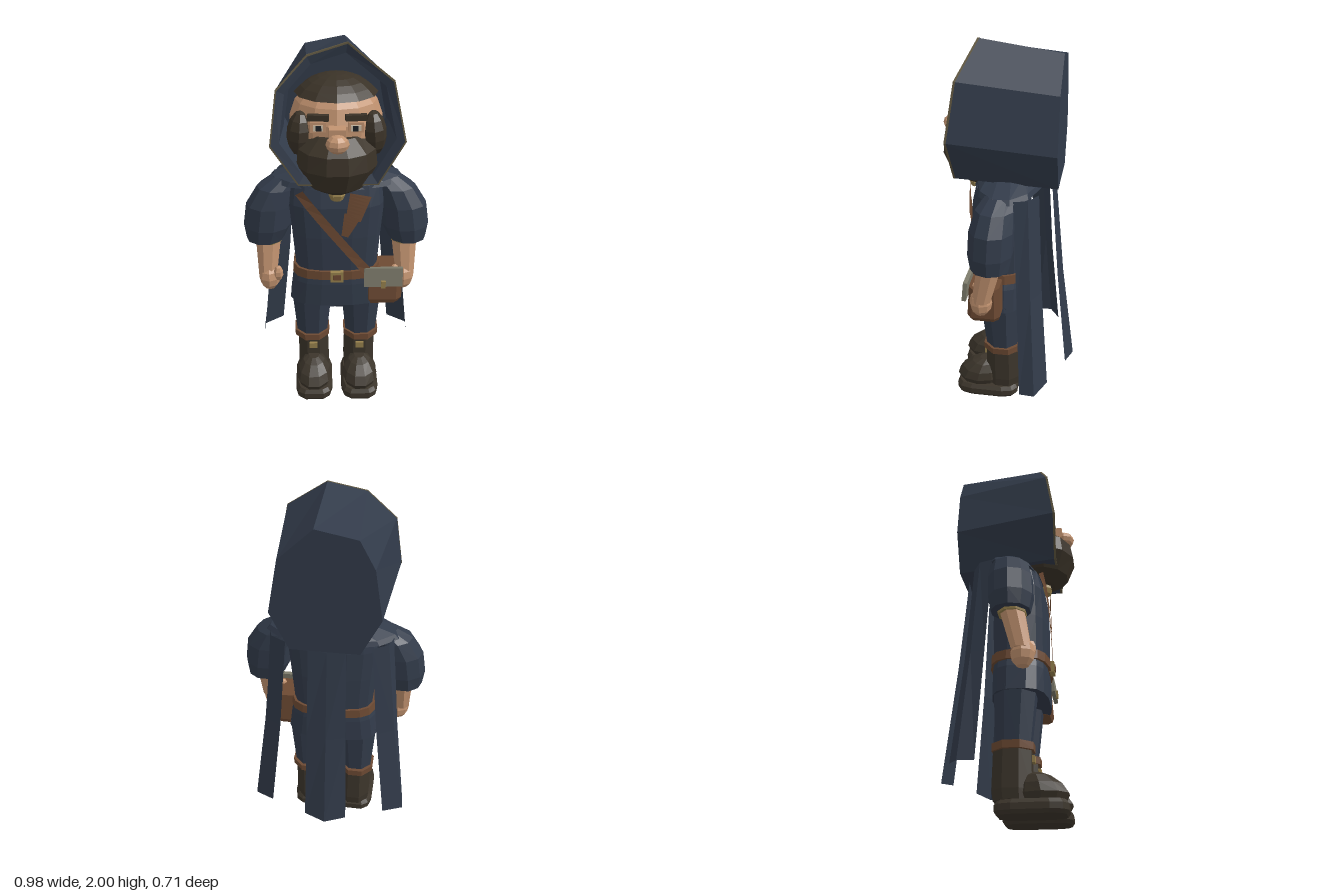
import * as THREE from 'three';

const colours = {
  navyCloth: 0x323b4a, skin: 0xc29370, hair: 0x3a3227, leather: 0x6d4a33, bootLeather: 0x3c352b,
  brass: 0x96804c, paleCanvas: 0x7d7b6b, eyeWhite: 0xcdbfa8, pupil: 0x1d2226, hem: 0x5f563f,
};
const mats = {};

// Flat-faceted mesh with a name
function add(parent, name, geometry, mat, pos = [0, 0, 0], rot = [0, 0, 0], scale = [1, 1, 1]) {
  const g = geometry.index ? geometry.toNonIndexed() : geometry;
  g.computeVertexNormals();
  const m = new THREE.Mesh(g, mats[mat]);
  m.name = name;
  m.position.set(...pos);
  m.rotation.set(...rot);
  m.scale.set(...scale);
  parent.add(m);
}
const box = (w, h, d) => new THREE.BoxGeometry(w, h, d);
const ball = (w = 10, h = 7) => new THREE.SphereGeometry(1, w, h);

// Skin through rings of points; optional end caps and open strips
function loft(rings, { closed = true, capStart = false, capEnd = false } = {}) {
  const out = [], n = rings[0].length;
  for (let r = 0; r < rings.length - 1; r++) {
    for (let i = 0; i < (closed ? n : n - 1); i++) {
      const j = (i + 1) % n, a = rings[r], b = rings[r + 1];
      out.push(...a[i], ...a[j], ...b[j], ...a[i], ...b[j], ...b[i]);
    }
  }
  const cap = (ring, flip) => {
    const c = [0, 1, 2].map(k => ring.reduce((s, p) => s + p[k], 0) / n);
    for (let i = 0; i < n; i++) {
      const p = ring[i], q = ring[(i + 1) % n];
      out.push(...c, ...(flip ? q : p), ...(flip ? p : q));
    }
  };
  if (capStart) cap(rings[0], true);
  if (capEnd) cap(rings[rings.length - 1], false);
  return new THREE.BufferGeometry().setAttribute('position', new THREE.Float32BufferAttribute(out, 3));
}

// Horizontal ring, rounder at k = 2 and boxier at k = 3
function ring(cx, y, cz, rx, rz, n = 8, k = 2) {
  return Array.from({ length: n }, (_, i) => {
    const t = (i + 0.5) / n * Math.PI * 2, s = Math.sin(t), c = Math.cos(t);
    const f = v => Math.sign(v) * Math.abs(v) ** (2 / k);
    return [cx + rx * f(s), y, cz + rz * f(c)];
  });
}
// Stack of rings given as [cx, y, cz, rx, rz], bottom to top
const stack = (list, n, k) => loft(list.map(p => ring(...p, n, k)), { capStart: true, capEnd: true });

// Thin band lying on the front of the torso between two points
function chestBand(x0, y0, x1, y1, w0, w1) {
  const front = x => 0.063 + 0.147 * (1 - Math.min(1, Math.abs(x) / 0.25) ** 3) ** (1 / 3);
  const len = Math.hypot(x1 - x0, y1 - y0), nx = -(y1 - y0) / len, ny = (x1 - x0) / len;
  const rows = Array.from({ length: 9 }, (_, i) => {
    const t = i / 8, w = w0 + (w1 - w0) * t, x = x0 + (x1 - x0) * t, y = y0 + (y1 - y0) * t;
    return [-w, w].map(d => [x + nx * d, y + ny * d, front(x + nx * d)]);
  });
  return loft(rows, { closed: false });
}

function buildHood(g) {
  const front = [[0.05, 2, 0.155], [0.265, 1.84, 0.23], [0.325, 1.56, 0.272], [0.2, 1.335, 0.262],
    [-0.19, 1.335, 0.262], [-0.32, 1.54, 0.272], [-0.285, 1.8, 0.235], [-0.14, 1.95, 0.19]];
  const back = [[0.05, 1.94], [0.222, 1.78], [0.275, 1.5], [0.18, 1.3],
    [-0.17, 1.3], [-0.27, 1.5], [-0.23, 1.76], [-0.155, 1.9]].map(p => [...p, -0.26]);
  const inset = (s, dz) => front.map(([x, y, z]) => [x * s, 1.63 + (y - 1.63) * s, z + dz]);
  add(g, 'hood', loft([inset(0.82, -0.25), inset(0.86, -0.015), front, back], { capEnd: true }), 'navyCloth');
  add(g, 'hoodHem', loft([inset(0.98, 0.003), inset(1.004, 0.003), inset(1.004, -0.008)]), 'hem');
}

function buildHead(g) {
  add(g, 'neck', stack([[0, 1.24, -0.04, 0.11, 0.11], [0, 1.31, -0.06, 0.14, 0.13],
    [0, 1.42, -0.05, 0.17, 0.16]]), 'skin');
  add(g, 'head', ball(12, 9), 'skin', [0, 1.575, 0.02], [0, 0, 0], [0.235, 0.24, 0.215]);
  add(g, 'hairCap', new THREE.SphereGeometry(1, 12, 5, 0, Math.PI * 2, 0, 0.9), 'hair',
    [0, 1.575, 0.02], [0, 0, 0], [0.265, 0.25, 0.25]);
  add(g, 'beard', stack([[0, 1.27, 0.14, 0.09, 0.1], [0, 1.315, 0.15, 0.155, 0.165],
    [0, 1.415, 0.155, 0.205, 0.2], [0, 1.5, 0.155, 0.195, 0.185], [0, 1.565, 0.14, 0.12, 0.125]], 12), 'hair');
  add(g, 'noseBridge', box(0.08, 0.09, 0.1), 'skin', [0, 1.58, 0.24]);
  add(g, 'nose', ball(8, 6), 'skin', [0, 1.56, 0.3], [0, 0, 0], [0.057, 0.045, 0.055]);
  for (const s of [1, -1]) {
    add(g, 'sideburn', ball(8, 7), 'hair', [s * 0.182, 1.56, 0.14], [0, 0, s * 0.08], [0.062, 0.112, 0.08]);
    add(g, 'eyebrow', box(0.102, 0.028, 0.03), 'hair', [s * 0.09, 1.667, 0.23], [0, s * 0.1, 0]);
    add(g, 'eyeSocket', box(0.075, 0.05, 0.03), 'skin', [s * 0.09, 1.615, 0.208]);
    add(g, 'eyeWhite', box(0.048, 0.028, 0.006), 'eyeWhite', [s * 0.09, 1.612, 0.226]);
    add(g, 'pupil', box(0.026, 0.026, 0.006), 'pupil', [s * 0.088, 1.612, 0.23]);
  }
}

function buildTorso(g) {
  add(g, 'tunic', stack([[0, 0.59, 0.055, 0.255, 0.145], [0, 0.72, 0.055, 0.238, 0.145],
    [0, 0.78, 0.055, 0.218, 0.14], [0, 1, 0.055, 0.235, 0.145], [0, 1.17, 0.055, 0.25, 0.14],
    [0, 1.28, 0.05, 0.24, 0.12]], 16, 3), 'navyCloth');
  add(g, 'belt', stack([[0, 0.758, 0.055, 0.238, 0.155], [0, 0.808, 0.055, 0.232, 0.154]], 16, 3), 'leather');
  add(g, 'buckle', box(0.07, 0.06, 0.025), 'brass', [0, 0.783, 0.213]);
  add(g, 'buckleInset', box(0.04, 0.03, 0.006), 'leather', [0, 0.783, 0.227]);
  add(g, 'shoulderStrap', chestBand(-0.19, 1.255, 0.225, 0.72, 0.024, 0.024), 'leather');
  // Ragged lapel in two overlapping pieces
  add(g, 'upperLapel', chestBand(0.12, 1.25, 0.082, 1.11, 0.056, 0.04), 'leather');
  add(g, 'lowerLapel', chestBand(0.08, 1.14, 0.04, 1.02, 0.045, 0.018), 'leather');
  add(g, 'pendant', ball(6, 4), 'brass', [0, 1.25, 0.195], [0, 0, 0], [0.042, 0.038, 0.03]);
  // Shoulder mantle
  add(g, 'mantle', stack([[0, 1.265, 0.005, 0.355, 0.178], [0, 1.29, 0.005, 0.335, 0.168],
    [0, 1.335, 0.01, 0.18, 0.125]], 12), 'navyCloth');
}

// Three hanging cape panels, each with a bent cross-section
function buildCape(g) {
  const panel = (name, parent, top, mid, low) =>
    add(parent, name, loft([low, mid, top], { closed: false }), 'navyCloth');
  const centre = (y, w, z, bend) => [[w, y + 0.015, z], [0, y, z - bend], [-w, y + 0.015, z]];
  panel('backCapePanel', g, centre(1.27, 0.095, -0.222, 0.006),
    centre(0.75, 0.105, -0.265, 0.02), centre(0.2, 0.116, -0.323, 0.036));
  for (const s of [1, -1]) {
    const side = new THREE.Group();
    side.name = s > 0 ? 'leftCape' : 'rightCape';
    side.scale.x = s;
    g.add(side);
    panel('sideCapePanel', side,
      [[0.32, 1.28, -0.055], [0.3, 1.28, -0.125], [0.22, 1.28, -0.17]],
      [[0.365, 0.75, -0.08], [0.355, 0.75, -0.15], [0.262, 0.75, -0.198]],
      [[0.425, 0.2, -0.105], [0.43, 0.2, -0.185], [0.32, 0.215, -0.243]]);
  }
}

function buildArm(g) {
  add(g, 'sleeve', stack([[0.38, 0.94, 0.05, 0.1, 0.1], [0.366, 1.02, 0.05, 0.125, 0.115],
    [0.35, 1.14, 0.045, 0.123, 0.115], [0.308, 1.235, 0.035, 0.105, 0.1],
    [0.25, 1.29, 0.02, 0.08, 0.07]], 10), 'navyCloth');
  add(g, 'cuff', stack([[0.365, 0.928, 0.055, 0.078, 0.073], [0.365, 0.945, 0.055, 0.08, 0.075]], 8), 'brass');
  add(g, 'forearm', stack([[0.37, 0.74, 0.1, 0.052, 0.052], [0.362, 0.95, 0.055, 0.072, 0.066]], 8), 'skin');
  add(g, 'hand', ball(8, 6), 'skin', [0.362, 0.725, 0.105], [0, 0, 0], [0.058, 0.078, 0.06]);
  add(g, 'thumb', ball(6, 5), 'skin', [0.312, 0.765, 0.14], [0, 0, 0], [0.026, 0.045, 0.028]);
}

function buildLeg(g) {
  add(g, 'trouserLeg', stack([[0.137, 0.32, 0.03, 0.09, 0.09], [0.135, 0.62, 0.04, 0.12, 0.115]], 8), 'navyCloth');
  add(g, 'bootShaft', stack([[0.13, 0.07, 0.025, 0.088, 0.1], [0.13, 0.12, 0.022, 0.094, 0.104],
    [0.132, 0.33, 0.025, 0.09, 0.1]], 8), 'bootLeather');
  add(g, 'bootCuff', stack([[0.138, 0.305, 0.028, 0.103, 0.11], [0.138, 0.342, 0.028, 0.106, 0.11]], 8), 'leather');
  add(g, 'bootClasp', box(0.045, 0.034, 0.02), 'brass', [0.132, 0.268, 0.122]);
  // Sole with bevelled edges, then the rounded toe
  add(g, 'sole', stack([[0.13, 0, 0.115, 0.095, 0.165], [0.13, 0.018, 0.115, 0.106, 0.177],
    [0.13, 0.048, 0.115, 0.106, 0.177], [0.13, 0.068, 0.115, 0.092, 0.163]], 12, 4), 'bootLeather');
  add(g, 'toe', stack([[0.13, 0.06, 0.165, 0.085, 0.11], [0.13, 0.1, 0.165, 0.1, 0.13],
    [0.13, 0.145, 0.155, 0.09, 0.11], [0.13, 0.185, 0.14, 0.062, 0.07], [0.13, 0.203, 0.125, 0.03, 0.04]], 10), 'bootLeather');
}

function buildBag(g) {
  const bag = new THREE.Group();
  bag.name = 'bag';
  bag.position.set(0.247, 0, 0.1);
  g.add(bag);
  add(bag, 'bagBody', stack([[0, 0.588, 0, 0.09, 0.08], [0, 0.615, 0, 0.108, 0.09],
    [0, 0.79, -0.005, 0.112, 0.082]], 8, 5), 'leather');
  add(bag, 'bagFlap', box(0.205, 0.108, 0.022), 'paleCanvas', [0, 0.765, 0.094], [-0.1, 0, 0]);
  add(bag, 'bagClasp', box(0.024, 0.042, 0.014), 'brass', [0, 0.728, 0.112]);
}

export function createModel() {
  for (const [name, color] of Object.entries(colours)) {
    mats[name] = new THREE.MeshStandardMaterial({ color, flatShading: true });
    mats[name].name = name;
  }
  for (const name of ['navyCloth', 'leather', 'hem', 'hair']) mats[name].side = THREE.DoubleSide;
  const model = new THREE.Group();
  model.name = 'hoodedTraveller';
  [buildHood, buildHead, buildTorso, buildCape, buildBag].forEach(build => build(model));
  for (const s of [1, -1]) {
    const limbs = new THREE.Group();
    limbs.name = s > 0 ? 'leftLimbs' : 'rightLimbs';
    limbs.scale.x = s;
    buildArm(limbs);
    buildLeg(limbs);
    model.add(limbs);
  }
  return model;
}
